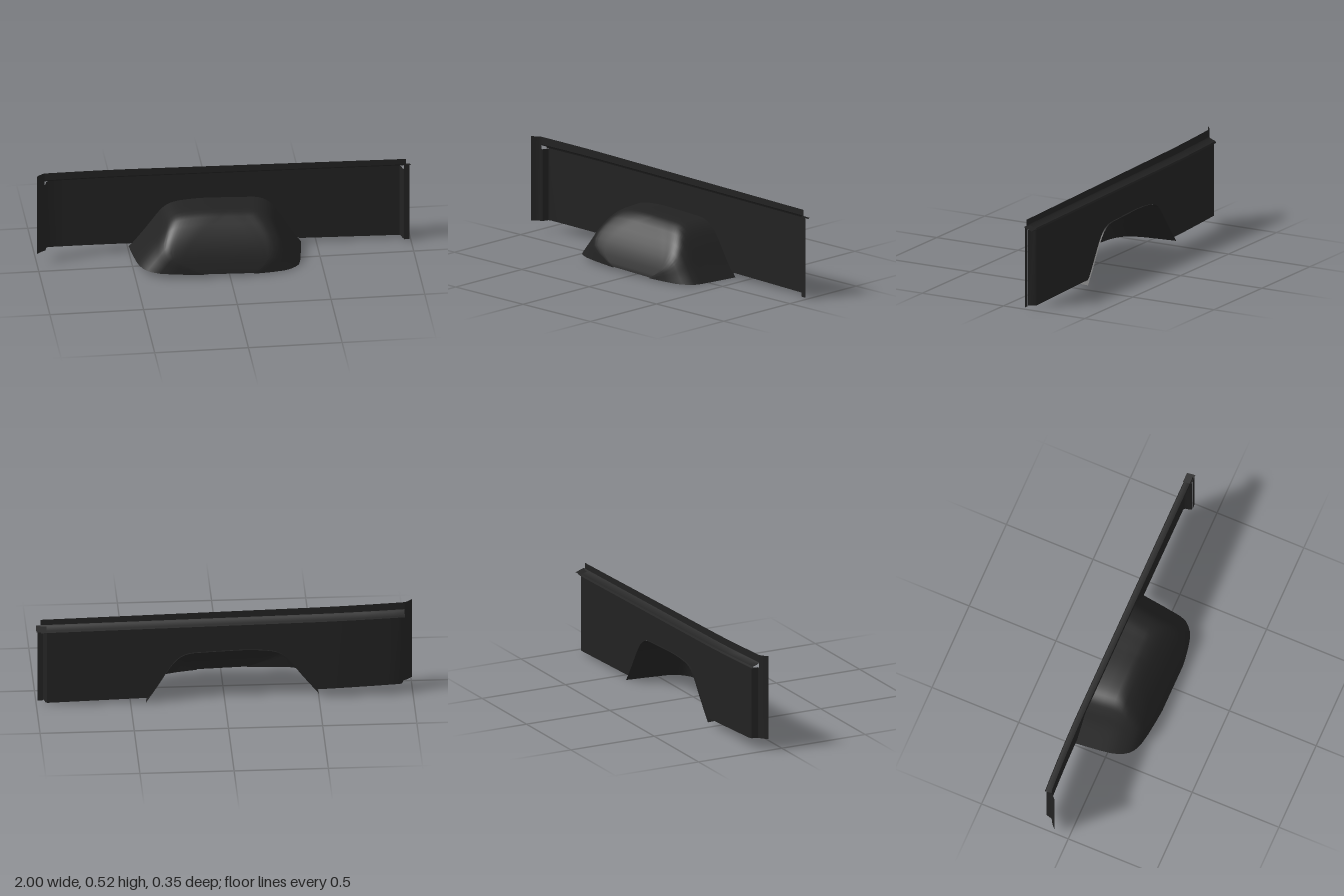
import * as THREE from 'three';
import { toCreasedNormals } from 'three/addons/utils/BufferGeometryUtils.js';

const material = new THREE.MeshStandardMaterial({ color: 0x222222, side: THREE.DoubleSide });

// Edge heights of the slightly tapering panel, and its gentle bow in z
const bottomY = (x) => 0.037 - 0.026 * x;
const ledgeY = (x) => 0.463 - 0.015 * x;
const topY = (x) => 0.505 - 0.02 * x;
const panelZ = (x) => -0.17 + 0.015 * Math.pow(Math.max(0, (-0.5 - x) / 0.45), 1.6);
const wellBaseY = (x) => 0.0126 - 0.03 * x;

// Wheel arch outline: x, height above the well's base line
const arch = new THREE.SplineCurve([
  [-0.5, 0], [-0.41, 0.115], [-0.355, 0.19], [-0.31, 0.24], [-0.25, 0.267], [-0.13, 0.281],
  [0, 0.282], [0.1, 0.281], [0.19, 0.277], [0.25, 0.248], [0.3, 0.187], [0.36, 0.09], [0.42, 0],
].map(([x, y]) => new THREE.Vector2(x, y))).getPoints(48);

// Thin sheet through rows of [x, y, z] points
function sheet(name, rows, crease = 0.6) {
  const n = rows[0].length;
  const index = [];
  for (let i = 0; i < rows.length - 1; i++) {
    for (let j = 0; j < n - 1; j++) {
      const a = i * n + j, b = a + n;
      index.push(a, b, a + 1, b, b + 1, a + 1);
    }
  }
  const geometry = new THREE.BufferGeometry();
  geometry.setAttribute('position', new THREE.Float32BufferAttribute(rows.flat(2), 3));
  geometry.setIndex(index);
  const mesh = new THREE.Mesh(toCreasedNormals(geometry, crease), material);
  mesh.name = name;
  return mesh;
}

export function createModel() {
  const group = new THREE.Group();
  group.name = 'bedSidePanel';

  // Main wall, notched over the wheel arch, with returns folded forward at both ends
  const stations = [
    [-0.957, -0.113], [-0.951, -0.118], [-0.942, -0.15], [-0.932, -0.156],
    ...[-0.85, -0.75, -0.65, -0.55].map((x) => [x, panelZ(x)]),
    ...arch.map((p) => [p.x, panelZ(p.x), wellBaseY(p.x) + p.y]),
    [0.6, -0.17], [0.8, -0.17], [0.943, -0.17], [0.951, -0.162], [0.957, -0.134], [0.963, -0.128],
  ];
  group.add(sheet('sideWall', stations.map(([x, z, y = 0]) => [
    [x, Math.max(bottomY(x), y), z],
    [x, ledgeY(x) - 0.022, z],
  ])));

  // Top rail: sloping ledge that turns up into a lip
  const railX = [-0.957, -0.9, -0.85, -0.75, -0.65, -0.55, -0.45, 0, 0.5, 0.975];
  group.add(sheet('topRail', railX.map((x) => {
    const z = panelZ(x), y = ledgeY(x);
    return [
      [x, y - 0.022, z], [x, y - 0.013, z + 0.005], [x, y - 0.002, z + 0.036],
      [x, y + 0.005, z + 0.042], [x, topY(x), z + 0.042],
    ];
  })));

  // End flange on the right, curving forward
  group.add(sheet('rightEndFlange', [[-0.957, -0.113], [-0.968, -0.108], [-0.985, -0.094], [-1, -0.08]]
    .map(([x, z]) => [[x, bottomY(x), z], [x, topY(x), z]])));

  // Narrow end flange and small ledge tab on the left
  group.add(sheet('leftEndFlange', [0.963, 0.975, 0.992]
    .map((x) => [[x, bottomY(x) - 0.005, -0.127], [x, ledgeY(x) + 0.004, -0.127]])));
  group.add(sheet('leftLedgeTab', [0.945, 1]
    .map((x) => [[x, ledgeY(x) - 0.015, -0.173], [x, ledgeY(x) + 0.002, -0.125]])));

  // Wheel well: arch sections narrowing and dropping forward [z, scale, left x, right x]
  const sections = [
    [-0.178, 1, -0.5, 0.42], [-0.1, 1, -0.492, 0.41], [-0.04, 1, -0.485, 0.402],
    [-0.01, 0.985, -0.481, 0.397], [0.02, 0.935, -0.476, 0.393], [0.05, 0.835, -0.468, 0.388],
    [0.085, 0.685, -0.453, 0.376], [0.11, 0.555, -0.435, 0.355], [0.13, 0.435, -0.41, 0.33],
    [0.147, 0.31, -0.37, 0.295], [0.16, 0.19, -0.3, 0.24], [0.17, 0.08, -0.21, 0.18],
    [0.176, 0.015, -0.14, 0.13],
  ];
  group.add(sheet('wheelWell', sections.map(([z, s, left, right]) => arch.map((p) => {
    const x = p.x < 0 ? left + (p.x + 0.5) * s : right - (0.42 - p.x) * s;
    return [x, wellBaseY(x) + p.y * s, z];
  })), 0.9));

  return group;
}
